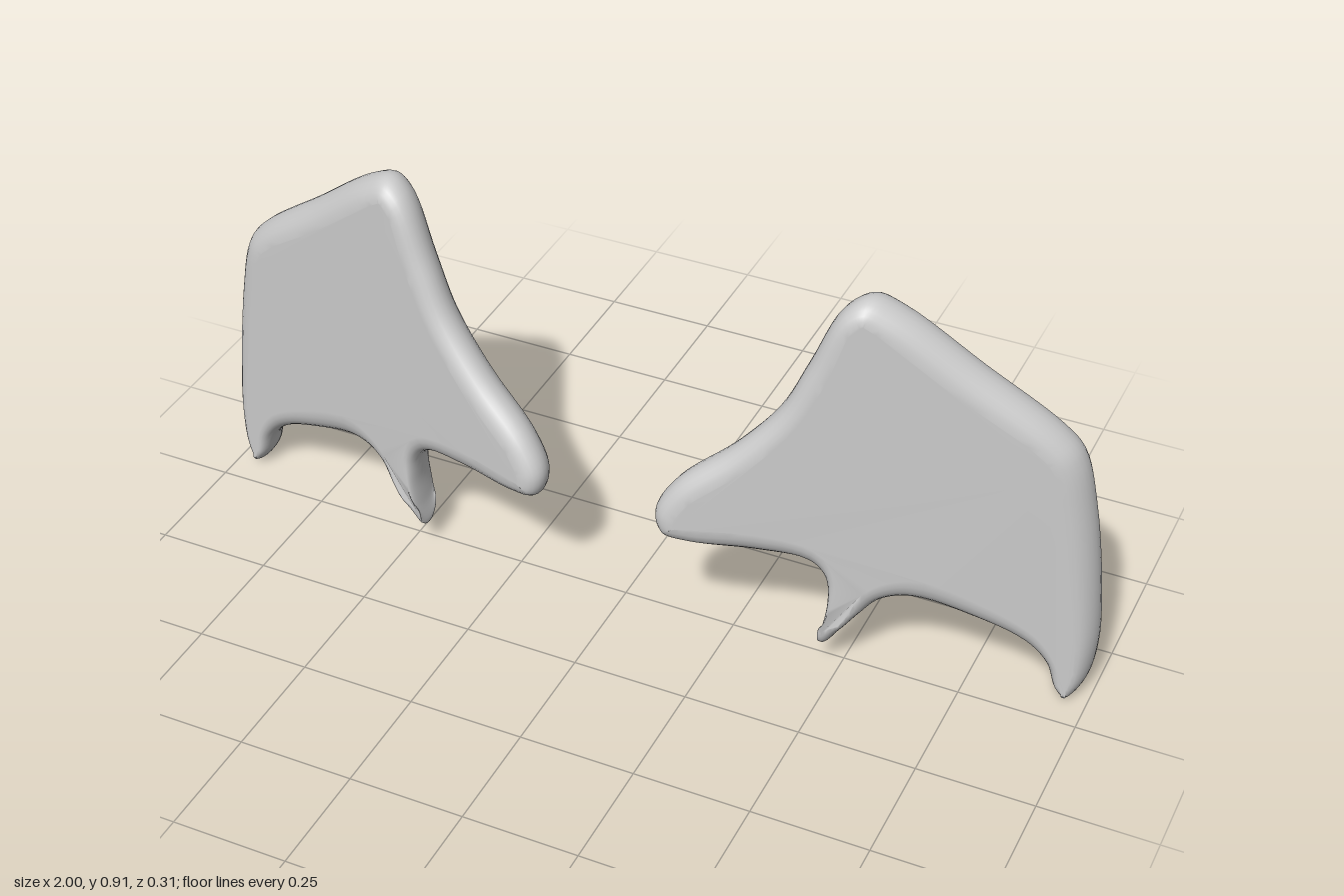
import * as THREE from 'three';

// Wing outline, counter-clockwise from the inner tip: x, y, width of the rounded rim
const OUTLINE = [
  [0.125, 0.365, 0.05], [0.14, 0.31, 0.045], [0.2, 0.292, 0.05], [0.33, 0.29, 0.06], [0.43, 0.28, 0.05],
  [0.463, 0.25, 0.03], [0.473, 0.19, 0.016], [0.467, 0.12, 0.007], [0.458, 0.064, 0.004],
  [0.468, 0.062, 0.004], [0.5, 0.105, 0.008], [0.54, 0.16, 0.02], [0.58, 0.2, 0.045], [0.64, 0.212, 0.065],
  [0.757, 0.18, 0.06], [0.86, 0.135, 0.045], [0.905, 0.09, 0.03], [0.928, 0.03, 0.02], [0.956, 0.002, 0.02],
  [0.983, 0.04, 0.022], [0.997, 0.13, 0.03], [0.99, 0.27, 0.04], [0.963, 0.47, 0.045], [0.93, 0.6, 0.045],
  [0.885, 0.655, 0.045], [0.73, 0.775, 0.05], [0.575, 0.893, 0.045], [0.515, 0.916, 0.04], [0.468, 0.885, 0.04],
  [0.41, 0.755, 0.05], [0.36, 0.645, 0.05], [0.275, 0.54, 0.05], [0.165, 0.44, 0.05],
];
const HALF = 0.05;        // half thickness of the wing
const SWEEP = -0.268;     // backward slant per unit of x
const STEPS = 12;         // steps across the rounded rim
const SPIKE = [0.463, 0.064];

function wingGeometry(side) {
  const curve = new THREE.CatmullRomCurve3(OUTLINE.map((p) => new THREE.Vector3(...p)), true, 'centripetal');
  const count = OUTLINE.length * 6;
  const positions = [], index = [];
  const rings = [];

  // Rim: the outline repeated from back to front, drawn inwards along a half circle
  for (let k = 0; k <= STEPS; k++) {
    const a = -Math.PI / 2 + (Math.PI * k) / STEPS;
    const draw = 1 - Math.cos(a);
    const ring = [];
    for (let i = 0; i < count; i++) {
      const p = curve.getPoint(i / count);
      const t = curve.getTangent(i / count);
      const len = Math.hypot(t.x, t.y);
      // the spike is a little thinner and its end is rounded from front to back
      const near = Math.exp(-((p.x - SPIKE[0]) ** 2 + (p.y - SPIKE[1]) ** 2) / 0.0036);
      const x = p.x - (t.y / len) * p.z * draw;
      const y = p.y + (t.x / len) * p.z * draw + 0.04 * near * draw;
      const z = (HALF - 0.014 * near) * Math.sin(a) + 0.15 + SWEEP * x;
      ring.push(new THREE.Vector2(x, y));
      positions.push(side * x, y, z);
    }
    rings.push(ring);
  }

  const face = (a, b, c) => (side > 0 ? index.push(a, b, c) : index.push(a, c, b));
  for (let k = 0; k < STEPS; k++) {
    for (let i = 0; i < count; i++) {
      const a = k * count + i, b = k * count + ((i + 1) % count);
      face(a, b, b + count);
      face(a, b + count, a + count);
    }
  }

  // Flat front and back
  const front = STEPS * count;
  for (const [a, b, c] of THREE.ShapeUtils.triangulateShape(rings[STEPS], [])) {
    face(front + a, front + b, front + c);
    face(a, c, b);
  }

  const geometry = new THREE.BufferGeometry();
  geometry.setAttribute('position', new THREE.Float32BufferAttribute(positions, 3));
  geometry.setIndex(index);
  geometry.computeVertexNormals();
  return geometry;
}

export function createModel() {
  const group = new THREE.Group();
  group.name = 'wings';
  const material = new THREE.MeshStandardMaterial({ color: 0xcccccc });
  for (const [name, side] of [['leftWing', 1], ['rightWing', -1]]) {
    const wing = new THREE.Mesh(wingGeometry(side), material);
    wing.name = name;
    group.add(wing);
  }
  return group;
}
